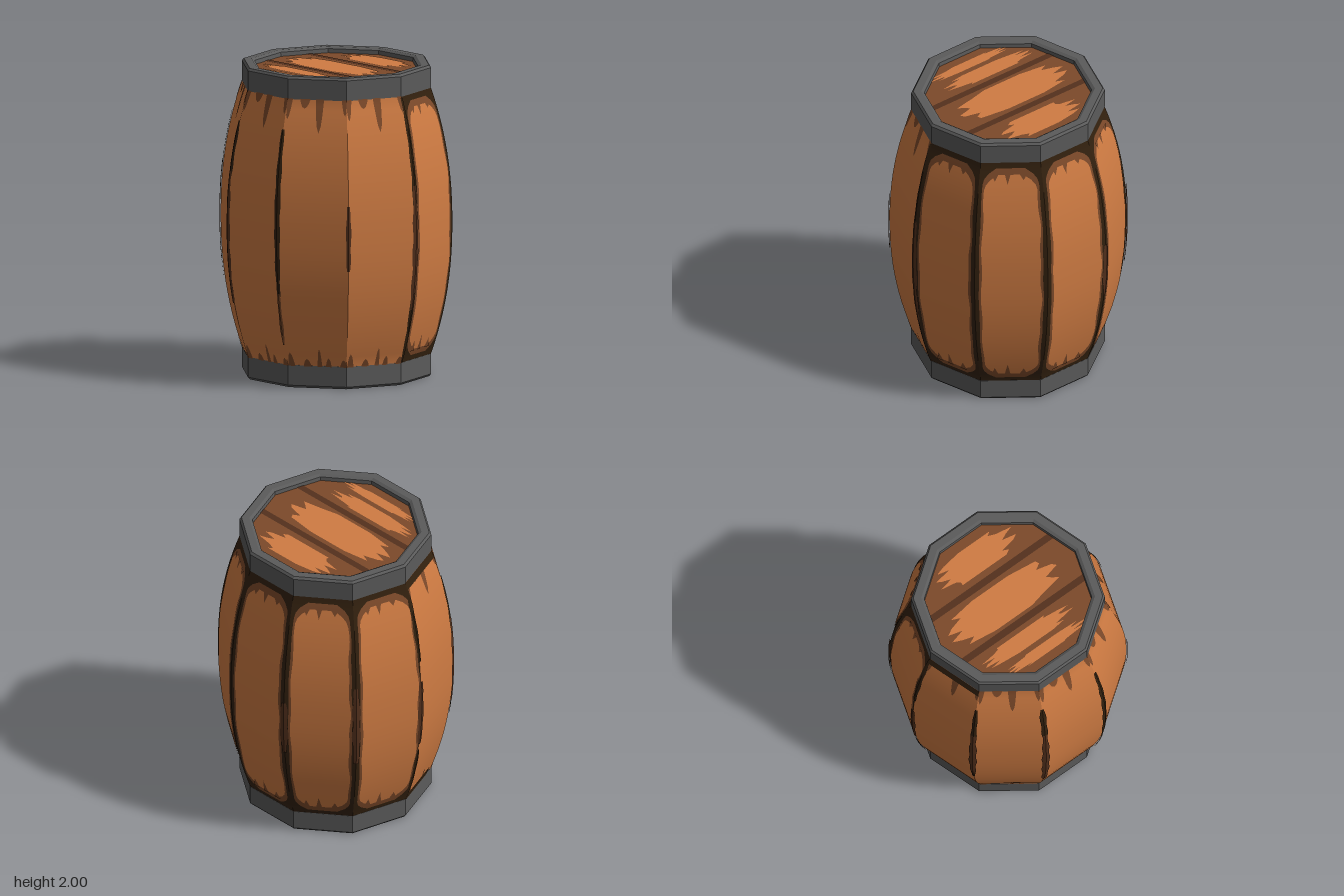
import * as THREE from 'three';

const paint = (name, color) => Object.assign(new THREE.MeshStandardMaterial({ color }), { name });

const SIDES = 10, STEP = (Math.PI * 2) / SIDES, LOW = 0.14, HIGH = 1.86;

// Bulging radius of the staves at height y
const radius = (y) => 0.61 + 0.14 * (1 - Math.pow(Math.min(1, Math.abs(y - 1) / 0.86), 2.2));

// Strip lying on one stave; edges(y, t) gives its sides as fractions 0..1 across the stave
function stavePatch(stave, y0, y1, rows, edges, lift) {
  const a = stave * STEP, b = a + STEP, mid = a + STEP / 2;
  const pos = [], nor = [], idx = [];
  for (let i = 0; i <= rows; i++) {
    const t = i / rows, y = y0 + (y1 - y0) * t, r = radius(y) + lift;
    const slope = (radius(y + 0.01) - radius(y - 0.01)) / 0.02;
    const n = new THREE.Vector3(Math.cos(mid), -slope * 0.95, Math.sin(mid)).normalize();
    for (const u of edges(y, t)) {
      pos.push(r * THREE.MathUtils.lerp(Math.cos(a), Math.cos(b), u), y,
        r * THREE.MathUtils.lerp(Math.sin(a), Math.sin(b), u));
      nor.push(n.x, n.y, n.z);
    }
    if (i < rows) {
      const k = i * 2;
      idx.push(k + 1, k, k + 2, k + 1, k + 2, k + 3);
    }
  }
  const g = new THREE.BufferGeometry();
  g.setAttribute('position', new THREE.Float32BufferAttribute(pos, 3));
  g.setAttribute('normal', new THREE.Float32BufferAttribute(nor, 3));
  g.setIndex(idx);
  return g;
}

// Flat streak of worn wood with ragged ends, in the lid plane
function streak(cx, cz, halfX, halfZ, seed) {
  const rows = 10, left = [], right = [];
  for (let i = 0; i <= rows; i++) {
    const s = (i / rows) * 2 - 1;
    const h = halfX * Math.pow(1 - s * s * 0.85, 0.4);
    left.push(new THREE.Vector2(cx - h + 0.06 * Math.sin(i * 2.3 + seed), -(cz + s * halfZ)));
    right.push(new THREE.Vector2(cx + h + 0.06 * Math.sin(i * 1.9 + seed * 2), -(cz + s * halfZ)));
  }
  return new THREE.ShapeGeometry(new THREE.Shape([...left, ...right.reverse()])).rotateX(-Math.PI / 2);
}

export function createModel() {
  const wood = paint('warm wood', 0xd07c43);
  const brown = paint('worn brown', 0x7d4a2a);
  const umber = paint('umber seam', 0x54311d);
  const dark = paint('dark seam', 0x33210f);
  const iron = paint('iron', 0x5b5b5b);

  const model = new THREE.Group();
  model.name = 'barrel';
  const add = (parent, name, geometry, material) => {
    const mesh = new THREE.Mesh(geometry, material);
    mesh.name = name;
    parent.add(mesh);
    return mesh;
  };

  const staves = new THREE.Group();
  staves.name = 'staves';
  model.add(staves);

  // Plain front staves with drips at the top and stains at the bottom
  const drips = [[0.03, 0.1, 0.05], [0.45, 0.21, 0.07], [0.7, 0.06, 0.09], [0.96, 0.13, 0.05]];
  const stains = [[0.05, 0.05, 0.06], [0.3, 0.06, 0.05], [0.45, 0.12, 0.04], [0.66, 0.05, 0.07], [0.93, 0.09, 0.06]];
  const clamp = (u) => Math.min(1, Math.max(0, u));
  for (let s = 0; s < 5; s++) {
    add(staves, 'frontStave', stavePatch(s, LOW, HIGH, 24, () => [0, 1], 0), wood);
    for (const [u, len, w] of drips) {
      add(staves, 'drip', stavePatch(s, HIGH - len, HIGH, 5,
        (y, t) => [clamp(u - w * Math.sqrt(t)), clamp(u + w * Math.sqrt(t))], 0.003), brown);
    }
    for (const [u, len, w] of stains) {
      add(staves, 'stain', stavePatch(s, LOW, LOW + len, 5,
        (y, t) => [clamp(u - w * Math.sqrt(1 - t)), clamp(u + w * Math.sqrt(1 - t))], 0.003), brown);
    }
  }
  // Shadowy grime at the ends of one side stave
  add(staves, 'grime', stavePatch(4, 1.81, HIGH, 3, () => [0, 1], 0.005), dark);
  add(staves, 'grime', stavePatch(4, LOW, 0.2, 3, () => [0.2, 1], 0.005), dark);

  // Back staves: dark border, brown fringe and a rounded wooden panel
  const panel = (s, e0, e1, endGap, lift, wobble, material, name) => {
    const y0 = 0.15 + endGap, y1 = 1.85 - endGap;
    const edges = (y) => {
      const d = Math.min(y - y0, y1 - y) / 0.11;
      const round = d < 1 ? 0.2 * Math.pow(1 - d, 2.5) : 0;
      const w = wobble * (Math.sin(y * 23 + s * 2) + Math.sin(y * 11 + s));
      return [e0 + round + w, 1 - e1 - round + wobble * Math.sin(y * 17 + s * 3)];
    };
    add(staves, name, stavePatch(s, y0, y1, 48, edges, lift), material);
  };
  for (let s = 5; s < SIDES; s++) {
    const e0 = s === 5 ? 0.02 : 0.06, e1 = 0.06;
    add(staves, 'backStave', stavePatch(s, LOW, HIGH, 24, () => [0, 1], 0), dark);
    panel(s, e0, e1, 0.03, 0.003, 0.004, brown, 'panelFringe');
    panel(s, e0 + 0.035, e1 + 0.035, 0.07, 0.006, 0.009, wood, 'panelFace');
    // Ragged brown teeth on the panel ends
    for (const [u, len, w] of [[0.3, 0.05, 0.07], [0.55, 0.09, 0.05], [0.75, 0.06, 0.06]]) {
      add(staves, 'panelTooth', stavePatch(s, 0.21, 0.22 + len, 4, (y, t) => [u - w * (1 - t), u + w * (1 - t)], 0.008), brown);
      add(staves, 'panelTooth', stavePatch(s, 1.78 - len * 0.7, 1.79, 4, (y, t) => [u - w * t, u + w * t], 0.008), brown);
    }
  }

  // Painted gaps along the front seams: seam, bottom, top, width, colour
  const seams = [
    [0, 0.15, 1.85, 0.04, dark], [0, 0.5, 1.3, 0.05, umber],
    [1, 0.78, 1.2, 0.035, umber], [1, 0.9, 1.1, 0.02, dark],
    [2, 0.6, 1.67, 0.045, dark], [2, 0.28, 0.62, 0.03, brown],
    [3, 0.5, 1.35, 0.055, umber], [3, 1.3, 1.67, 0.05, dark], [3, 0.5, 0.58, 0.035, dark],
    [4, 0.6, 1.67, 0.045, dark], [4, 0.7, 1.35, 0.055, umber],
    [5, 0.65, 1.15, 0.05, umber], [5, 0.15, 0.6, 0.04, dark], [5, 1.3, 1.85, 0.04, dark],
    [6, 0.65, 1.25, 0.06, umber], [7, 0.7, 1.1, 0.06, umber],
  ];
  for (const [k, y0, y1, w, material] of seams) {
    const lift = material === dark ? 0.006 : 0.008;
    const width = (y, t) => w * Math.pow(Math.sin(Math.PI * (0.04 + 0.92 * t)), 0.3) * (1 + 0.15 * Math.sin(y * 31 + k));
    add(staves, 'seam', stavePatch(k, y0, y1, 24, (y, t) => [0, width(y, t)], lift), material);
    add(staves, 'seam', stavePatch((k + 9) % SIDES, y0, y1, 24, (y, t) => [1 - width(y, t), 1], lift), material);
  }

  // One end of the barrel: iron hoop and recessed lid
  const buildEnd = (name, streaks) => {
    const end = new THREE.Group();
    end.name = name;
    const profile = [[0.54, 1.855], [0.613, 1.855], [0.613, 1.985], [0.6, 2], [0.55, 2], [0.53, 1.988], [0.525, 1.95]]
      .map(([x, y]) => new THREE.Vector2(x, y - 1));
    const hoop = new THREE.LatheGeometry(profile, SIDES).rotateY(Math.PI / 2).toNonIndexed();
    hoop.computeVertexNormals();
    add(end, 'hoop', hoop, iron);
    add(end, 'lid', new THREE.CircleGeometry(0.535, SIDES).rotateX(-Math.PI / 2), brown).position.y = 0.962;
    for (const [z, half] of [[-0.18, 0.485], [0.17, 0.49]]) {
      const gap = add(end, 'lidGap', new THREE.PlaneGeometry(half * 2, 0.045).rotateX(-Math.PI / 2), umber);
      gap.position.set(0, 0.965, z);
    }
    streaks.forEach(([x, z, hx, hz], i) => {
      add(end, 'lidStreak', streak(x, z, hx, hz, i * 1.7 + 1), wood).position.y = 0.965;
    });
    return end;
  };
  const top = buildEnd('topEnd', [
    [0, -0.34, 0.26, 0.095], [-0.04, 0, 0.38, 0.125], [-0.06, 0.28, 0.3, 0.055], [0, 0.405, 0.27, 0.035],
  ]);
  top.position.y = 1;
  const bottom = buildEnd('bottomEnd', [[0, -0.34, 0.26, 0.095], [-0.04, 0, 0.36, 0.1], [0, 0.33, 0.24, 0.05]]);
  bottom.rotation.x = Math.PI;
  bottom.position.y = 1;
  model.add(top, bottom);

  return model;
}
